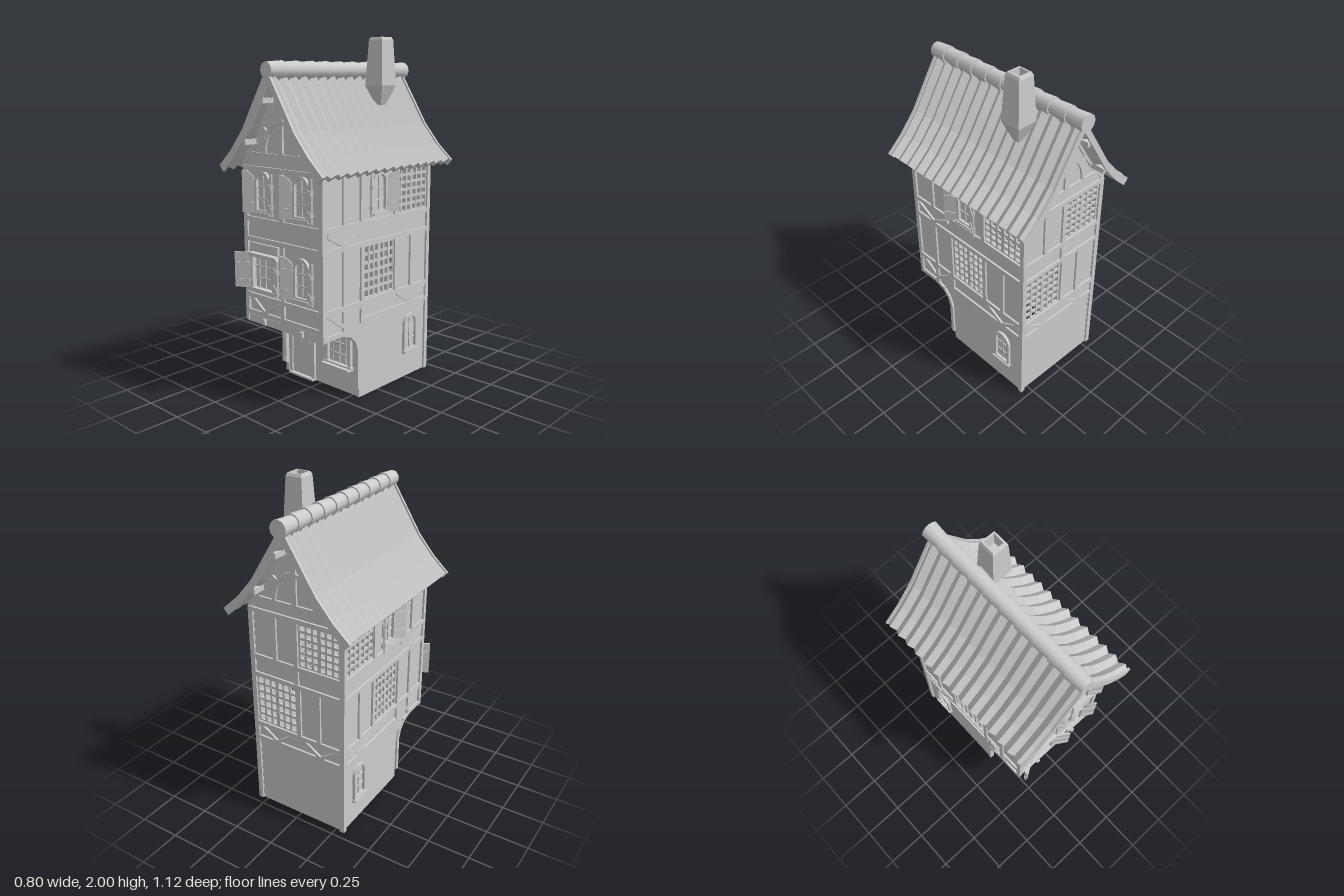
import * as THREE from 'three';

const plaster = new THREE.MeshStandardMaterial({ color: 0xcccccc });
plaster.name = 'stone grey';

// Outer roof curve from ridge to eave
const ROOF = [[0, 1.83], [0.1, 1.672], [0.2, 1.512], [0.3, 1.395], [0.4, 1.305]];

function add(parent, name, geometry, x = 0, y = 0, z = 0) {
  const mesh = new THREE.Mesh(geometry, plaster);
  mesh.name = name;
  mesh.position.set(x, y, z);
  parent.add(mesh);
  return mesh;
}
const box = (parent, name, w, h, d, x, y, z) => add(parent, name, new THREE.BoxGeometry(w, h, d), x, y, z);
const shapeOf = pts => new THREE.Shape(pts.map(p => new THREE.Vector2(p[0], p[1])));
const extrude = (shape, depth) => new THREE.ExtrudeGeometry(shape, { depth, bevelEnabled: false, curveSegments: 8 });
const rect = (u1, u2, y1, y2) => [[u1, y1], [u2, y1], [u2, y2], [u1, y2]];

function arch(w, h) {
  const r = w / 2, pts = [[-r, 0], [r, 0]];
  for (let i = 0; i <= 10; i++) {
    const t = Math.PI * i / 10;
    pts.push([r * Math.cos(t), h - r + r * Math.sin(t)]);
  }
  return pts;
}

// One side of the house: local z is the outward direction, sign maps u to local x
function makeFace(house, name, angle, sign, dist) {
  const g = new THREE.Group();
  g.name = name;
  g.rotation.y = angle;
  house.add(g);
  const f = { g, sign, dist };
  f.wall = (pts, holes = []) => {
    const flip = a => a.map(([u, y]) => [u * sign, y]);
    const s = shapeOf(flip(pts));
    for (const h of holes) s.holes.push(new THREE.Path(flip(rect(...h)).map(p => new THREE.Vector2(...p))));
    add(g, 'wall', extrude(s, 0.02), 0, 0, dist - 0.02);
    holes.forEach(h => f.lattice(...h));
  };
  f.beam = (u1, y1, u2, y2, w = 0.026, out = 0.012) => {
    const m = box(g, 'timber', Math.hypot(u2 - u1, y2 - y1), w, out + 0.01,
      sign * (u1 + u2) / 2, (y1 + y2) / 2, dist + (out - 0.01) / 2);
    m.rotation.z = Math.atan2(y2 - y1, sign * (u2 - u1));
  };
  f.path = (pts, w) => {
    for (let i = 1; i < pts.length; i++) f.beam(...pts[i - 1], ...pts[i], w);
  };
  f.lattice = (u1, u2, y1, y2) => {
    for (let i = 0; i <= 6; i++) {
      const t = i / 6, w = i === 3 ? 0.022 : 0.013;
      box(g, 'latticeBar', w, y2 - y1, 0.014, sign * (u1 + (u2 - u1) * t), (y1 + y2) / 2, dist - 0.006);
      box(g, 'latticeBar', u2 - u1, 0.015, 0.012, sign * (u1 + u2) / 2, y1 + (y2 - y1) * t, dist - 0.006);
    }
  };
  return f;
}

// Half-arched or square shutter, hinged at one window edge and swung open
function shutter(f, u, y, w, h, side, arched, out) {
  const g = new THREE.Group();
  g.name = 'shutter';
  const pts = [[0, 0], [side * w, 0], [side * w, h]];
  if (arched) for (let i = 1; i <= 6; i++) {
    const t = Math.PI / 2 * i / 6;
    pts.push([side * w * (1 - Math.sin(t)), h - w * (1 - Math.cos(t))]);
  } else pts.push([0, h]);
  add(g, 'shutterPanel', extrude(shapeOf(pts), 0.01));
  for (const k of [0.2, 0.68]) box(g, 'shutterBatten', w * 0.95, 0.02, 0.02, side * w / 2, h * k, 0.005);
  g.position.set(u, y, f.dist + out);
  g.rotation.y = -side * 0.55;
  f.g.add(g);
}

function archedWindow(f, u, y, w, h, shutters) {
  const x = f.sign * u;
  const ring = shapeOf(arch(w, h));
  const inner = arch(w - 0.034, h - 0.034).map(p => new THREE.Vector2(p[0], p[1] + 0.017));
  ring.holes.push(new THREE.Path(inner));
  add(f.g, 'windowFrame', extrude(ring, 0.022), x, y, f.dist - 0.005);
  box(f.g, 'mullion', 0.008, h - 0.03, 0.012, x, y + h / 2, f.dist);
  for (const k of [0.33, 0.62]) box(f.g, 'glazingBar', w - 0.02, 0.008, 0.012, x, y + h * k, f.dist);
  box(f.g, 'windowSill', w + 0.01, 0.014, 0.035, x, y, f.dist + 0.008);
  if (shutters) for (const s of [-1, 1]) shutter(f, x + s * w / 2, y, 0.076, h, s, true, 0.006);
}

function squareWindow(f, x, y, w, h, out) {
  for (const s of [-1, 1]) box(f.g, 'windowFrame', 0.02, h, out + 0.01, x + s * (w - 0.02) / 2, y + h / 2, f.dist + out / 2);
  for (const s of [0, 1]) box(f.g, 'windowFrame', w + 0.02, 0.02, out + 0.02, x, y + s * h, f.dist + out / 2);
  for (const k of [-1, 0, 1]) box(f.g, 'mullion', 0.009, h, 0.014, x + k * w / 4, y + h / 2, f.dist);
  for (const k of [0.33, 0.66]) box(f.g, 'glazingBar', w, 0.009, 0.014, x, y + h * k, f.dist);
}

// Timbers of a gable end
function gableTimbers(f) {
  f.beam(-0.3, 1.285, 0.3, 1.285);
  f.beam(-0.28, 1.36, 0.28, 1.36, 0.03);
  f.beam(0, 1.36, 0, 1.72, 0.032);
  for (const s of [-1, 1]) {
    f.path(ROOF.slice(0, 4).map(([x, y]) => [s * x, y - 0.085]), 0.026);
    const arc = [];
    for (let i = 0; i <= 6; i++) {
      const t = Math.PI / 2 * i / 6;
      arc.push([s * (0.015 + 0.115 * Math.sin(t)), 1.37 + 0.17 * Math.cos(t)]);
    }
    f.path(arc, 0.022);
    f.beam(s * 0.1, 1.48, s * 0.17, 1.53, 0.02);
  }
}

// Half the corrugated roof, as closed cross-sections joined along z
function roofSlope() {
  const n = 30, loops = [], pos = [];
  for (let j = 0; j <= n; j++) {
    const ring = off => ROOF.map(([x, y], i) => {
      const a = ROOF[Math.max(i - 1, 0)], b = ROOF[Math.min(i + 1, ROOF.length - 1)];
      const dx = b[0] - a[0], dy = b[1] - a[1], l = Math.hypot(dx, dy);
      return [x - dy / l * off, y + dx / l * off, -0.55 + 1.1 * j / n];
    });
    const o = j % 2 ? 0 : -0.026;
    loops.push([...ring(o), ...ring(o - 0.025).reverse()]);
  }
  for (let j = 0; j < n; j++) for (let k = 0; k < loops[0].length; k++) {
    const m = (k + 1) % loops[0].length;
    const a = loops[j][k], b = loops[j][m], c = loops[j + 1][m], d = loops[j + 1][k];
    pos.push(...a, ...d, ...c, ...a, ...c, ...b);
  }
  const geo = new THREE.BufferGeometry();
  geo.setAttribute('position', new THREE.Float32BufferAttribute(pos, 3));
  geo.computeVertexNormals();
  return geo;
}

export function createModel() {
  const house = new THREE.Group();
  house.name = 'timberHouse';
  const front = makeFace(house, 'frontWall', 0, 1, 0.448);
  const back = makeFace(house, 'backWall', Math.PI, -1, 0.448);
  const ground = makeFace(house, 'groundFloorFront', 0, 1, 0.155);
  const flanks = [makeFace(house, 'leftWall', Math.PI / 2, -1, 0.298), makeFace(house, 'rightWall', -Math.PI / 2, 1, 0.298)];
  const gable = base => [[-0.297, base], [0.297, base], [0.297, 1.35], [0.2, 1.46], [0.1, 1.62], [0, 1.78], [-0.1, 1.62], [-0.2, 1.46], [-0.297, 1.35]];

  // Front upper storeys
  front.wall(gable(0.4));
  gableTimbers(front);
  for (const y of [0.455, 0.555, 0.885, 1]) front.beam(-0.3, y, 0.3, y);
  front.beam(-0.3, 0.415, 0.3, 0.415, 0.045, 0.005);
  for (const s of [-1, 1]) {
    front.beam(s * 0.295, 0.44, s * 0.295, 1.3, 0.03);
    box(front.g, 'joistEnd', 0.022, 0.03, 0.03, s * 0.15, 0.415, 0.455);
    archedWindow(front, s * 0.15, 1.04, 0.12, 0.235, true);
  }
  front.beam(0, 0.44, 0, 0.9);
  front.beam(0, 1, 0, 1.28);
  front.path([[-0.26, 0.545], [-0.15, 0.465], [-0.04, 0.545]], 0.02);
  archedWindow(front, 0.15, 0.6, 0.12, 0.235, true);
  squareWindow(front, -0.145, 0.6, 0.2, 0.2, 0.025);
  box(front.g, 'windowHead', 0.23, 0.05, 0.02, -0.145, 0.84, 0.452);
  for (const s of [-1, 1]) shutter(front, -0.145 + s * 0.1, 0.605, 0.095, 0.205, s, false, 0.02);

  // Back wall
  back.wall(gable(0), [[0.01, 0.275, 0.57, 0.87], [-0.275, -0.02, 1.015, 1.27]]);
  gableTimbers(back);
  for (const y of [0.455, 0.555, 0.885, 1]) back.beam(-0.3, y, 0.3, y);
  for (const s of [-1, 1]) {
    back.beam(s * 0.295, 0, s * 0.295, 1.3, 0.03);
    back.path([[s * 0.27, 0.545], [s * 0.15, 0.465], [s * 0.03, 0.545]], 0.02);
  }
  for (const u of [-0.01, -0.14]) back.beam(u, 0.56, u, 0.88);
  for (const u of [0, 0.14]) back.beam(u, 1, u, 1.28);
  back.beam(0, 0.9, 0, 0.99);

  // Side walls with the curved jetty bracket
  const outline = [[-0.45, 0], [0.16, 0], [0.16, 0.05], [0.18, 0.06], [0.18, 0.28], [0.195, 0.335], [0.235, 0.38], [0.3, 0.4], [0.45, 0.4], [0.45, 1.36], [-0.45, 1.36]];
  for (const f of flanks) {
    f.wall(outline, [[-0.13, 0.125, 0.57, 0.87], [-0.43, -0.15, 1.015, 1.27]]);
    f.beam(0.13, 0.455, -0.45, 0.455);
    for (const y of [0.555, 0.885, 1, 1.285]) f.beam(0.45, y, -0.45, y);
    f.beam(0.445, 0.415, 0.3, 0.415);
    f.path([[0.17, 0.06], [0.17, 0.28], [0.19, 0.345], [0.235, 0.39], [0.31, 0.415]], 0.024);
    f.beam(0.445, 0.4, 0.445, 1.3);
    f.beam(-0.445, 0, -0.445, 1.3);
    f.beam(0.29, 0.42, 0.29, 0.88);
    f.beam(0.145, 0.44, 0.145, 0.88);
    for (const u of [-0.145, -0.29]) f.beam(u, 0.56, u, 0.88);
    for (const u of [0.29, 0.15, -0.14]) f.beam(u, 1, u, 1.28);
    f.path([[0.42, 0.97], [0.29, 0.9], [0.16, 0.97]], 0.02);
    f.path([[0.42, 0.54], [0.29, 0.45], [0.16, 0.54]], 0.02);
    f.path([[-0.16, 0.54], [-0.29, 0.465], [-0.42, 0.54]], 0.02);
    archedWindow(f, -0.29, 0.16, 0.125, 0.23, false);
    archedWindow(f, 0.005, 1.04, 0.12, 0.235, true);
  }

  // Ground floor front: door, window and jetty floor
  ground.wall(rect(-0.297, 0.297, 0, 0.4));
  box(house, 'jettyFloor', 0.59, 0.015, 0.3, 0, 0.402, 0.295);
  for (const s of [-1, 1]) box(ground.g, 'doorPost', 0.022, 0.325, 0.022, -0.15 + s * 0.093, 0.162, 0.16);
  box(ground.g, 'doorLintel', 0.23, 0.018, 0.03, -0.15, 0.33, 0.163);
  box(ground.g, 'door', 0.164, 0.31, 0.01, -0.15, 0.16, 0.157);
  for (const s of [-1, 1]) box(ground.g, 'doorPanel', 0.055, 0.07, 0.008, -0.15 + s * 0.036, 0.255, 0.163);
  box(ground.g, 'doorStep', 0.2, 0.012, 0.04, -0.15, 0.006, 0.165);
  squareWindow(ground, 0.145, 0.155, 0.195, 0.195, 0.015);
  box(ground.g, 'windowSill', 0.21, 0.012, 0.05, 0.145, 0.15, 0.178);

  // Roof
  const slope = roofSlope();
  for (const s of [0, 1]) add(house, 'roofSlope', slope).rotation.y = s * Math.PI;
  const verge = [...ROOF.map(([x, y]) => [x, y - 0.008]), [0.37, 1.262], ...ROOF.slice(0, 4).reverse().map(([x, y]) => [x, y - 0.07])];
  const vergeGeo = extrude(shapeOf(verge), 0.014);
  vergeGeo.translate(0, 0, 0.537);
  const vergeGeoL = extrude(shapeOf(verge.map(([x, y]) => [-x, y])), 0.014);
  vergeGeoL.translate(0, 0, 0.537);
  for (const s of [0, 1]) for (const g of [vergeGeo, vergeGeoL]) add(house, 'bargeBoard', g).rotation.y = s * Math.PI;
  for (const s of [-1, 1]) for (const [x, y] of [[0.055, 1.66], [0.2, 1.435]]) {
    box(house, 'purlin', 0.025, 0.03, 1.08, s * x, y, 0);
  }

  // Ridge tiles, each wider towards the back
  for (let i = 0; i < 10; i++) {
    const len = 0.112, z = 0.54 - len * (i + 0.5) + 0.012;
    const geo = new THREE.CylinderGeometry(0.042, 0.05, len, 12);
    geo.rotateX(Math.PI / 2);
    add(house, 'ridgeTile', geo, 0, 1.815, z);
  }

  // Square hollow chimney
  const q = Math.SQRT2;
  const profile = [[0.02, 1.62], [0.063, 1.73], [0.049, 1.985], [0.042, 2], [0.033, 2], [0.03, 1.92], [0, 1.92]];
  const stack = new THREE.LatheGeometry(profile.map(([r, y]) => new THREE.Vector2(r * q, y)), 4, Math.PI / 4).toNonIndexed();
  stack.computeVertexNormals();
  add(house, 'chimney', stack, 0.118, 0, -0.22);
  return house;
}
